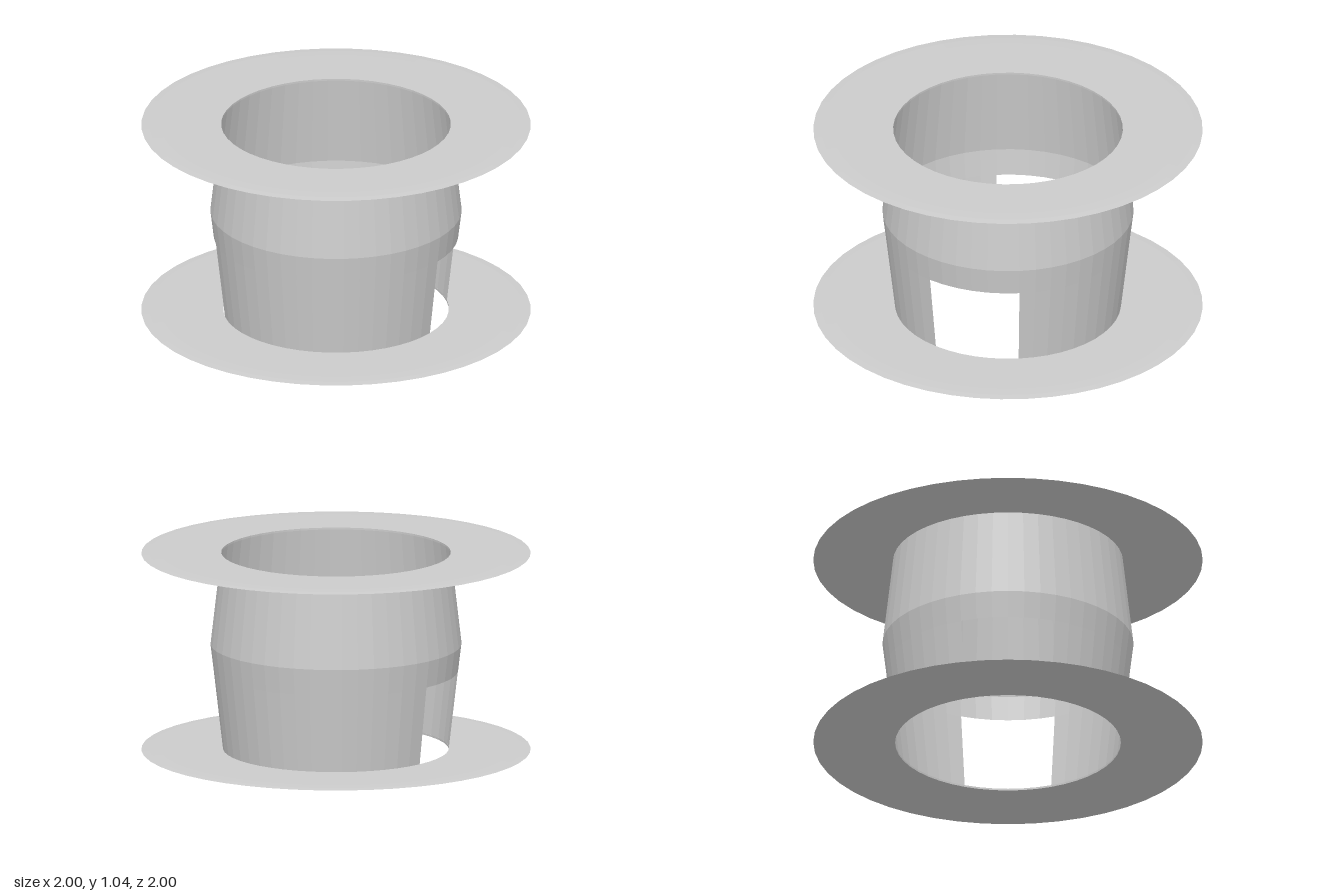
import * as THREE from 'three';

const SEGMENTS = 48;
const HEIGHT = 1.04;
const THICK = 0.01;
const DOOR_TOP = 0.42;
const DOOR_HALF = Math.PI / 8; // half the angle each doorway spans

const material = new THREE.MeshStandardMaterial({
  color: 0xcccccc, flatShading: true, side: THREE.DoubleSide,
});

// Revolves a [radius, y] profile over part or all of a turn.
function lathe(name, profile, segments = SEGMENTS, start = 0, length = Math.PI * 2) {
  const points = profile.map(([r, y]) => new THREE.Vector2(r, y));
  const mesh = new THREE.Mesh(new THREE.LatheGeometry(points, segments, start, length), material);
  mesh.name = name;
  return mesh;
}

// Thin ring whose faces taper slightly towards the rim.
function flange(name, innerRadius, y) {
  const ring = lathe(name, [
    [innerRadius, 0], [0.9, 0], [0.96, THICK * 0.15], [1, THICK * 0.5],
    [0.96, THICK * 0.85], [0.9, THICK], [innerRadius, THICK], [innerRadius, 0],
  ]);
  ring.position.y = y;
  return ring;
}

export function createModel() {
  const model = new THREE.Group();
  model.name = 'flangedDrum';

  // Flat rings at both ends
  model.add(flange('bottomFlange', 0.58, 0));
  model.add(flange('topFlange', 0.59, HEIGHT - THICK));

  // Full band of the drum, widest just above the doorways
  model.add(lathe('upperWall', [[0.628, DOOR_TOP], [0.645, 0.56], [0.59, HEIGHT - THICK / 2]]));

  // Front and back lower walls, leaving a doorway on each side
  const span = Math.PI - 2 * DOOR_HALF;
  const steps = Math.round((SEGMENTS * span) / (Math.PI * 2));
  [['frontLowerWall', 0], ['backLowerWall', Math.PI]].forEach(([name, centre]) => {
    model.add(lathe(name, [[0.58, THICK / 2], [0.628, DOOR_TOP]], steps, centre - span / 2, span));
  });

  return model;
}
